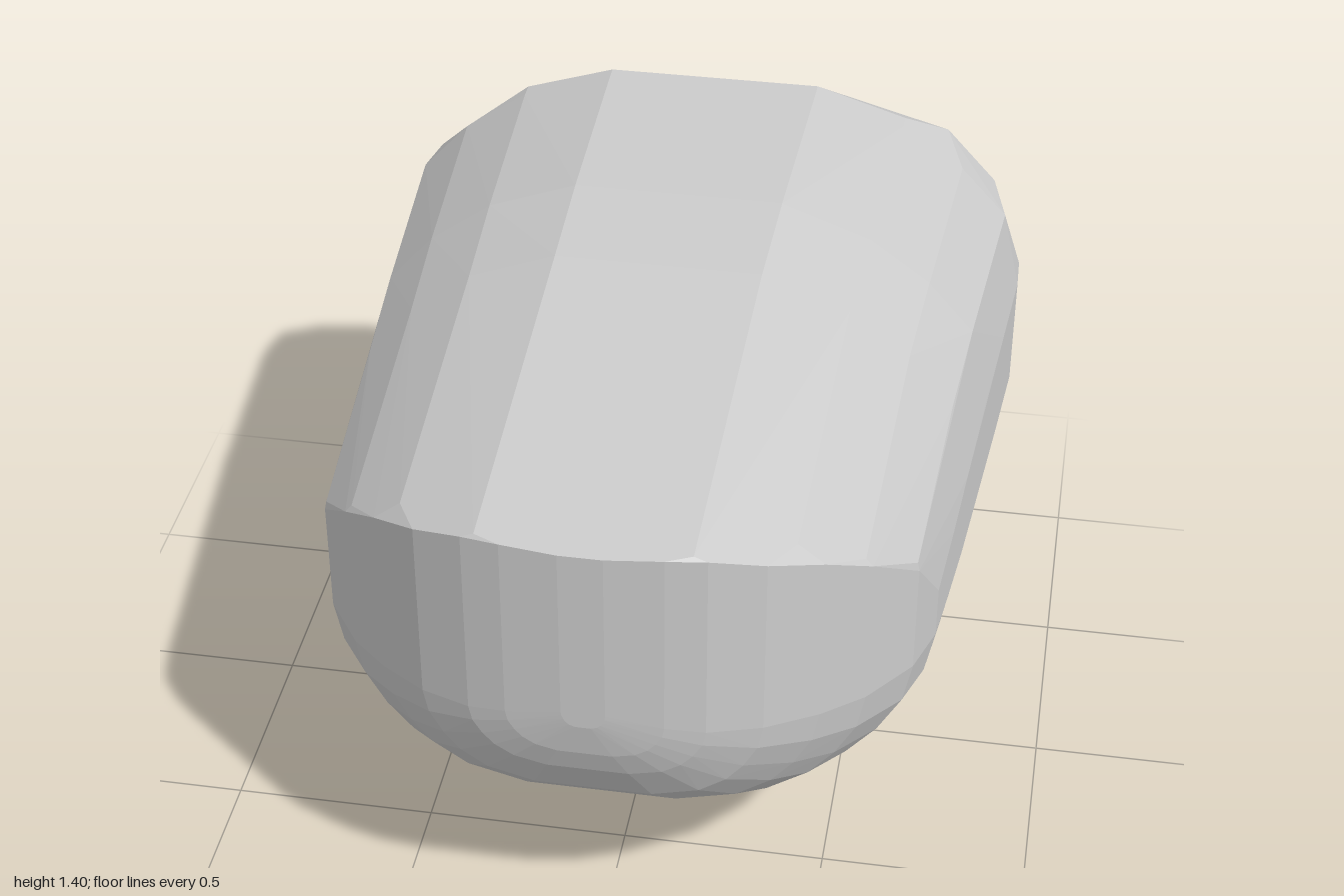
import * as THREE from 'three';
import { ConvexGeometry } from 'three/addons/geometries/ConvexGeometry.js';

// Stations along the body: z, half width, underside height, height where the lower curve meets the wall
const STATIONS = [
  [-0.86, 0.828, 0.0, 0.57],
  [-0.6, 0.81, 0.03, 0.58],
  [-0.3, 0.787, 0.065, 0.6],
  [0, 0.767, 0.12, 0.62],
  [0.2, 0.752, 0.175, 0.65],
  [0.4, 0.735, 0.24, 0.68],
  [0.55, 0.695, 0.29, 0.7],
  [0.7, 0.6, 0.36, 0.72],
  [0.8, 0.505, 0.43, 0.74],
  [0.9, 0.39, 0.53, 0.77],
  [0.96, 0.27, 0.64, 0.79],
  [0.985, 0.18, 0.71, 0.81],
  [1, 0.05, 0.8, 0.84],
];

// Roof arch: full-width x and how far it drops below the ridge
const ROOF = [[0, 0], [0.27, 0], [0.5, 0.08], [0.66, 0.19], [0.78, 0.32], [0.828, 0.53]];
// Lower curve: fraction of half width, fraction of height above the underside
const LOWER = [[1, 1], [0.97, 0.74], [0.89, 0.5], [0.79, 0.3], [0.63, 0.12], [0.35, 0]];

const ridge = z => (z < -0.16 ? 1.4 : 1.4 - (0.12 * (z + 0.16)) / 1.16);
const taper = z => 1 - 0.115 * Math.min(1, (z + 0.86) / 1.26);

function roofDrop(x) {
  for (let i = 1; i < ROOF.length; i++) {
    const [x0, d0] = ROOF[i - 1], [x1, d1] = ROOF[i];
    if (x <= x1) return d0 + ((d1 - d0) * (x - x0)) / (x1 - x0);
  }
  return ROOF[ROOF.length - 1][1];
}

export function createModel() {
  const points = [];
  const add = (x, y, z) => points.push(new THREE.Vector3(x, y, z));
  const addPair = (x, y, z) => { add(x, y, z); add(-x, y, z); };

  // Body sections: arched roof cut off by the rounded plan, over a rounded belly
  for (const [z, w, bottom, wall] of STATIONS) {
    const s = taper(z);
    for (const [x] of ROOF) {
      if (x * s < w) addPair(x * s, ridge(z) - roofDrop(x), z);
    }
    addPair(w, ridge(z) - roofDrop(w / s), z);
    for (const [fx, fy] of LOWER) addPair(w * fx, bottom + fy * (wall - bottom), z);
  }

  // Rear shoulder just before the chamfer
  addPair(0.27, 1.4, -0.89);
  addPair(0.5, 1.32, -0.905);
  addPair(0.75, 1.1, -0.94);
  addPair(0.825, 0.88, -0.95);
  addPair(0.825, 0.56, -0.95);
  addPair(0.72, 0.28, -0.93);

  // Flat back face, with its upper edge slanting down to one side
  const back = [
    [-0.78, 1.04], [-0.785, 0.55], [-0.7, 0.33], [-0.5, 0.15],
    [0.5, 0.15], [0.7, 0.33], [0.79, 0.52], [0.79, 0.95], [0.74, 1.1],
  ];
  for (const [x, y] of back) add(x, y, -1);
  add(0.61, 1.25, -0.985);

  const body = new THREE.Mesh(
    new ConvexGeometry(points),
    new THREE.MeshStandardMaterial({ color: 0xcccccc, flatShading: true })
  );
  body.name = 'body';

  const group = new THREE.Group();
  group.name = 'roundedBlock';
  group.add(body);
  return group;
}
